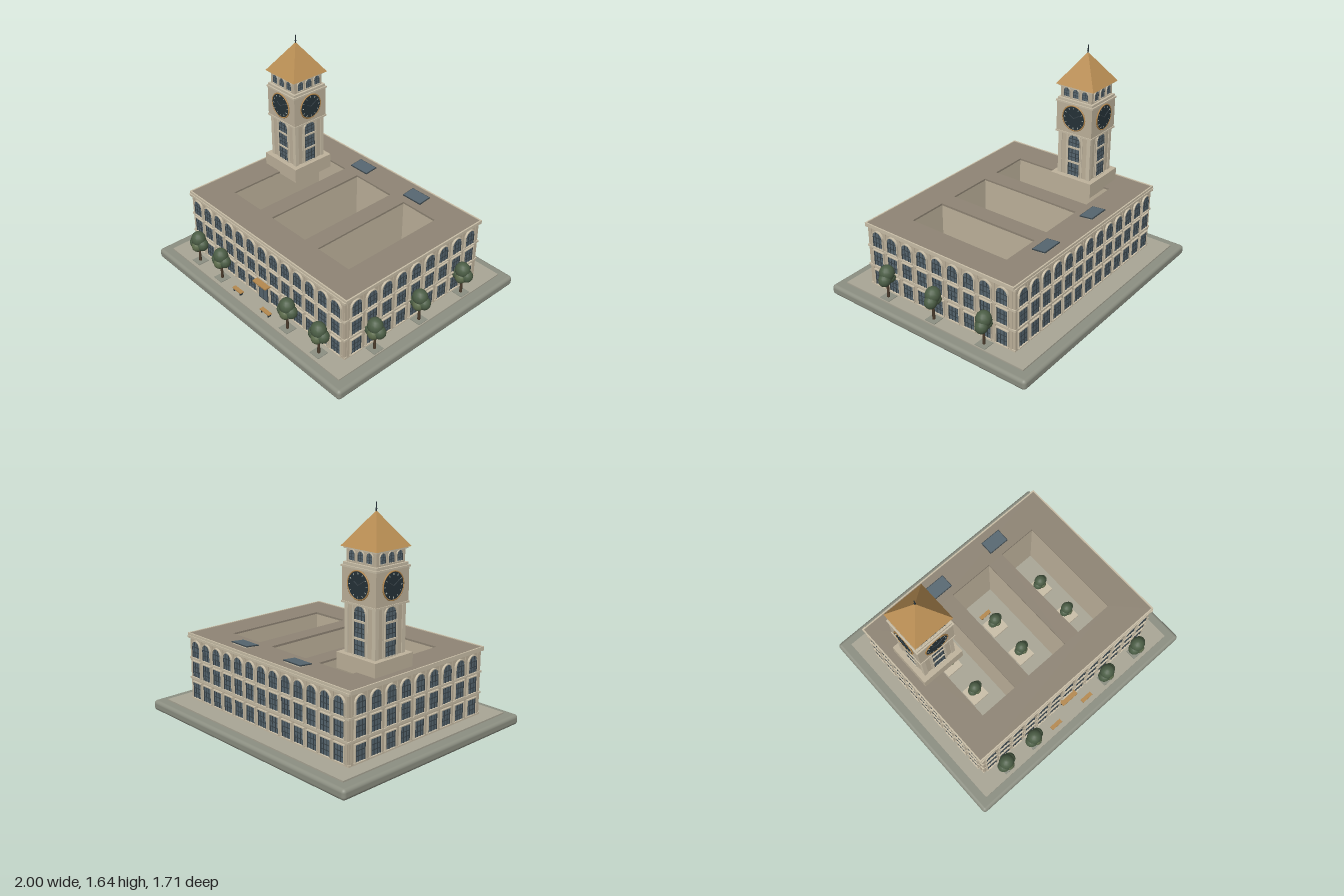
import * as THREE from 'three';
import { mergeGeometries } from 'three/addons/utils/BufferGeometryUtils.js';
import { RoundedBoxGeometry } from 'three/addons/geometries/RoundedBoxGeometry.js';

const mat = (color, flatShading = false) => new THREE.MeshStandardMaterial({ color, flatShading });
const M = {
  base: mat(0x8c8f82), paving: mat(0xa9a696), wall: mat(0xbfb39c), trim: mat(0xcabfa8), roof: mat(0x8f8575),
  glass: mat(0x566670), frame: mat(0x39444a), dark: mat(0x263238), wood: mat(0xb5894f), copper: mat(0xb98e54, true),
  leaf: mat(0x4c5e46), leafLight: mat(0x5d6c4c), trunk: mat(0x4a3b2c), tick: mat(0xb8c0b8),
};

function add(parent, name, geometry, material, x = 0, y = 0, z = 0) {
  const mesh = new THREE.Mesh(geometry, material);
  mesh.name = name;
  mesh.position.set(x, y, z);
  parent.add(mesh);
  return mesh;
}

// Box placed by the centre of its underside
const box = (parent, name, material, w, h, d, x, y, z) =>
  add(parent, name, new THREE.BoxGeometry(w, h, d), material, x, y + h / 2, z);

function group(parent, name, x = 0, y = 0, z = 0) {
  const g = new THREE.Group();
  g.name = name;
  g.position.set(x, y, z);
  parent.add(g);
  return g;
}

// Opening outline standing on y = 0, optionally with a round head
function outline(C, w, h, arched) {
  const s = new C();
  s.moveTo(-w / 2, 0);
  s.lineTo(w / 2, 0);
  if (arched) {
    s.lineTo(w / 2, h - w / 2);
    s.absarc(0, h - w / 2, w / 2, 0, Math.PI, false);
  } else {
    s.lineTo(w / 2, h);
    s.lineTo(-w / 2, h);
  }
  s.closePath();
  return s;
}

// Returns a function that places copies of one window type
function windowType(w, h, arched, depth, bars = 2) {
  const t = w * 0.08;
  const opening = outline(THREE.Shape, w, h, arched);
  const rim = outline(THREE.Shape, w + 2 * t, h + t, arched);
  rim.holes.push(outline(THREE.Path, w, h, arched));
  const opts = { depth, bevelEnabled: false, curveSegments: 8 };
  const surround = new THREE.ExtrudeGeometry(rim, opts);
  const pane = new THREE.ExtrudeGeometry(opening, { ...opts, depth: depth * 0.45 });
  const bar = (bw, bh, x, y) => new THREE.BoxGeometry(bw, bh, depth * 0.3).translate(x, y, depth * 0.55);
  const parts = [bar(w, t * 0.7, 0, h * 0.32), bar(w, t * 0.7, 0, h * 0.64)];
  for (let i = 1; i <= bars; i++) {
    const x = -w / 2 + (w * i) / (bars + 1);
    const top = arched ? h - w / 2 + Math.sqrt(w * w / 4 - x * x) : h;
    parts.push(bar(t * 0.6, top, x, top / 2));
  }
  parts.push(bar(t, h - (arched ? w / 2 : 0), -w / 2 + t / 2, (h - (arched ? w / 2 : 0)) / 2));
  parts.push(bar(t, h - (arched ? w / 2 : 0), w / 2 - t / 2, (h - (arched ? w / 2 : 0)) / 2));
  const mullions = mergeGeometries(parts);
  const sill = new THREE.BoxGeometry(w * 1.2, t, depth * 1.3).translate(0, -t / 2, depth * 0.65);
  return (parent, x, y, z) => {
    const g = group(parent, 'window', x, y, z);
    add(g, 'windowSurround', surround, M.trim);
    add(g, 'windowPane', pane, M.glass);
    add(g, 'windowBars', mullions, M.frame);
    add(g, 'windowSill', sill, M.trim);
  };
}

// Four groups, each facing outward along its own +z
function fourSides(parent, name, build) {
  for (let i = 0; i < 4; i++) {
    const g = group(parent, name);
    g.rotation.y = (i * Math.PI) / 2;
    build(g, i);
  }
}

// Flat slab with the three courtyards cut through
function courtSlab(halfX, halfZ, height) {
  const rect = (C, x0, x1, z) => new C([[x0, -z], [x1, -z], [x1, z], [x0, z]].map(p => new THREE.Vector2(...p)));
  const s = rect(THREE.Shape, -halfX, halfX, halfZ);
  for (const [a, b] of [[-0.605, -0.305], [-0.175, 0.175], [0.305, 0.605]]) s.holes.push(rect(THREE.Path, a, b, 0.408));
  return new THREE.ExtrudeGeometry(s, { depth: height, bevelEnabled: false }).rotateX(-Math.PI / 2);
}

function tree(parent, x, z, s, y = 0.085) {
  const g = group(parent, 'tree', x, y, z);
  g.scale.setScalar(s);
  add(g, 'trunk', new THREE.CylinderGeometry(0.007, 0.011, 0.13, 8), M.trunk, 0, 0.065, 0);
  const lobe = new THREE.SphereGeometry(1, 14, 10);
  for (const [lx, ly, lz, r, m] of [[0, 0.197, 0, 0.056, M.leaf], [-0.03, 0.155, 0.005, 0.047, M.leaf],
    [0.032, 0.158, -0.008, 0.046, M.leaf], [0.004, 0.145, 0.02, 0.042, M.leafLight]])
    add(g, 'foliage', lobe, m, lx, ly, lz).scale.set(r, r * 1.05, r * 0.95);
}

function bench(parent, x, z) {
  const g = group(parent, 'bench', x, 0.085, z);
  box(g, 'benchSeat', M.wood, 0.095, 0.008, 0.03, 0, 0.02, 0);
  for (const s of [-1, 1]) box(g, 'benchLeg', M.dark, 0.008, 0.02, 0.024, s * 0.035, 0, 0);
}

function building(root) {
  const g = group(root, 'building');
  const hx = 0.813, hz = 0.635, depth = 0.014;
  add(g, 'walls', courtSlab(hx, hz, 0.48), M.wall, 0, 0.085, 0);
  add(g, 'roofSlab', courtSlab(0.828, 0.638, 0.015), M.roof, 0, 0.563, 0);
  const square = windowType(0.088, 0.115, false, depth);
  const arched = windowType(0.088, 0.122, true, depth);
  fourSides(g, 'facade', (f, i) => {
    const long = i % 2 === 0, count = long ? 13 : 9, step = long ? 0.123 : 0.135;
    const z = long ? hz : hx, half = long ? hx : hz;
    for (let c = 0; c < count; c++) {
      const x = (c - (count - 1) / 2) * step;
      if (!(i === 0 && c === 6)) square(f, x, 0.105, z);
      square(f, x, 0.264, z);
      arched(f, x, 0.412, z);
    }
    // Pilasters, floor bands and cornice
    for (let c = 0; c <= count; c++) {
      const x = THREE.MathUtils.clamp((c - count / 2) * step, -half + 0.012, half - 0.012);
      box(f, 'pilaster', M.wall, 0.016, 0.46, 0.006, x, 0.09, z + 0.002);
    }
    for (const y of [0.24, 0.392]) box(f, 'floorBand', M.trim, half * 2 + 0.012, 0.014, 0.012, 0, y, z + 0.002);
    box(f, 'plinth', M.trim, half * 2 + 0.01, 0.014, 0.01, 0, 0.085, z);
    box(f, 'cornice', M.trim, half * 2 + 0.03, 0.016, 0.024, 0, 0.55, z);
    const edge = long ? 0.636 : 0.828;
    box(f, 'parapet', M.trim, (long ? 0.828 : 0.636) * 2 + 0.01, 0.02, 0.01, 0, 0.563, edge);
  });
  // Entrance with canopy
  box(g, 'doorFrame', M.trim, 0.116, 0.145, 0.012, 0, 0.085, hz + 0.004);
  box(g, 'door', M.frame, 0.1, 0.138, 0.016, 0, 0.085, hz + 0.005);
  for (const s of [-1, 1]) box(g, 'doorPane', M.glass, 0.038, 0.12, 0.02, s * 0.023, 0.093, hz + 0.005);
  box(g, 'entranceCanopy', M.wood, 0.14, 0.01, 0.05, 0, 0.226, 0.66);
  // Sloping skylights
  for (const x of [-0.218, 0.328]) {
    const s = group(g, 'skylight', x, 0.575, -0.518);
    box(s, 'skylightCurb', M.trim, 0.15, 0.01, 0.09, 0, 0, 0);
    s.rotation.x = 0.1;
    box(s, 'skylightFrame', M.frame, 0.168, 0.006, 0.106, 0, 0.01, 0);
    box(s, 'skylightGlass', M.glass, 0.158, 0.004, 0.096, 0, 0.014, 0);
  }
}

function clock(parent, y, z) {
  const g = group(parent, 'clock', 0, y, z);
  add(g, 'clockFace', new THREE.CylinderGeometry(0.092, 0.092, 0.008, 40).rotateX(Math.PI / 2), M.dark, 0, 0, 0.003);
  add(g, 'clockRim', new THREE.TorusGeometry(0.092, 0.005, 8, 40), M.wood, 0, 0, 0.005);
  for (let i = 0; i < 12; i++) {
    const a = (i * Math.PI) / 6;
    add(g, 'hourMark', new THREE.BoxGeometry(0.004, 0.012, 0.003), M.tick, Math.sin(a) * 0.075, Math.cos(a) * 0.075, 0.008).rotation.z = -a;
  }
  for (const [len, a] of [[0.042, 1.0], [0.062, -1.0]]) {
    const hand = new THREE.BoxGeometry(0.005, len, 0.003).translate(0, len / 2, 0);
    add(g, 'clockHand', hand, M.frame, 0, 0, 0.009).rotation.z = a;
  }
}

function tower(root) {
  const g = group(root, 'clockTower', -0.592, 0, -0.188);
  box(g, 'towerPlinth', M.wall, 0.346, 0.11, 0.346, 0, 0.563, 0);
  box(g, 'towerShaft', M.wall, 0.262, 0.34, 0.262, 0, 0.67, 0);
  box(g, 'clockStage', M.wall, 0.296, 0.235, 0.296, 0, 1.008, 0);
  box(g, 'clockStageBand', M.trim, 0.306, 0.012, 0.306, 0, 1.002, 0);
  box(g, 'clockStageCornice', M.trim, 0.31, 0.012, 0.31, 0, 1.234, 0);
  box(g, 'belfryStep', M.trim, 0.29, 0.018, 0.29, 0, 1.246, 0);
  box(g, 'belfry', M.wall, 0.258, 0.1, 0.258, 0, 1.262, 0);
  box(g, 'belfryCornice', M.trim, 0.285, 0.012, 0.285, 0, 1.35, 0);
  const square = windowType(0.096, 0.1, false, 0.01);
  const arched = windowType(0.096, 0.092, true, 0.01);
  const small = windowType(0.05, 0.066, true, 0.008, 1);
  fourSides(g, 'towerSide', f => {
    square(f, 0, 0.678, 0.131);
    square(f, 0, 0.793, 0.131);
    arched(f, 0, 0.908, 0.131);
    for (const s of [-1, 1]) {
      box(f, 'cornerPilaster', M.trim, 0.03, 0.33, 0.012, s * 0.122, 0.673, 0.131);
      box(f, 'windowStrip', M.trim, 0.012, 0.33, 0.01, s * 0.063, 0.673, 0.13);
    }
    clock(f, 1.135, 0.148);
    for (const x of [-0.076, 0, 0.076]) small(f, x, 1.279, 0.129);
  });
  // Pyramid roof and finial
  const cone = new THREE.ConeGeometry(0.156 * Math.SQRT2, 0.222, 4).rotateY(Math.PI / 4);
  add(g, 'towerRoof', cone, M.copper, 0, 1.473, 0);
  add(g, 'finial', new THREE.CylinderGeometry(0.003, 0.005, 0.075, 8), M.dark, 0, 1.6, 0);
  add(g, 'finialBall', new THREE.SphereGeometry(0.007, 10, 8), M.dark, 0, 1.595, 0);
}

export function createModel() {
  const root = new THREE.Group();
  root.name = 'clockTowerBuilding';
  add(root, 'base', new RoundedBoxGeometry(2, 0.075, 1.71, 4, 0.025), M.base, 0, 0.0375, 0);
  box(root, 'plaza', M.paving, 1.84, 0.02, 1.565, 0, 0.065, 0);
  building(root);
  tower(root);
  // Street trees in flat pits
  const street = [[-0.66, 0.715], [-0.39, 0.715], [0.34, 0.715], [0.655, 0.715], [0.87, -0.43], [0.87, 0], [0.87, 0.42]];
  for (const [x, z] of street) {
    box(root, 'treePit', M.base, 0.085, 0.004, 0.085, x, 0.085, z);
    tree(root, x, z, 1);
  }
  // Courtyard planters
  for (const x of [-0.465, 0, 0.465]) for (const z of [-0.15, 0.147]) {
    box(root, 'planter', M.trim, 0.14, 0.022, 0.14, x, 0.085, z);
    tree(root, x, z, 0.8, 0.105);
  }
  bench(root, 0, -0.268);
  bench(root, -0.18, 0.733);
  bench(root, 0.13, 0.733);
  return root;
}
